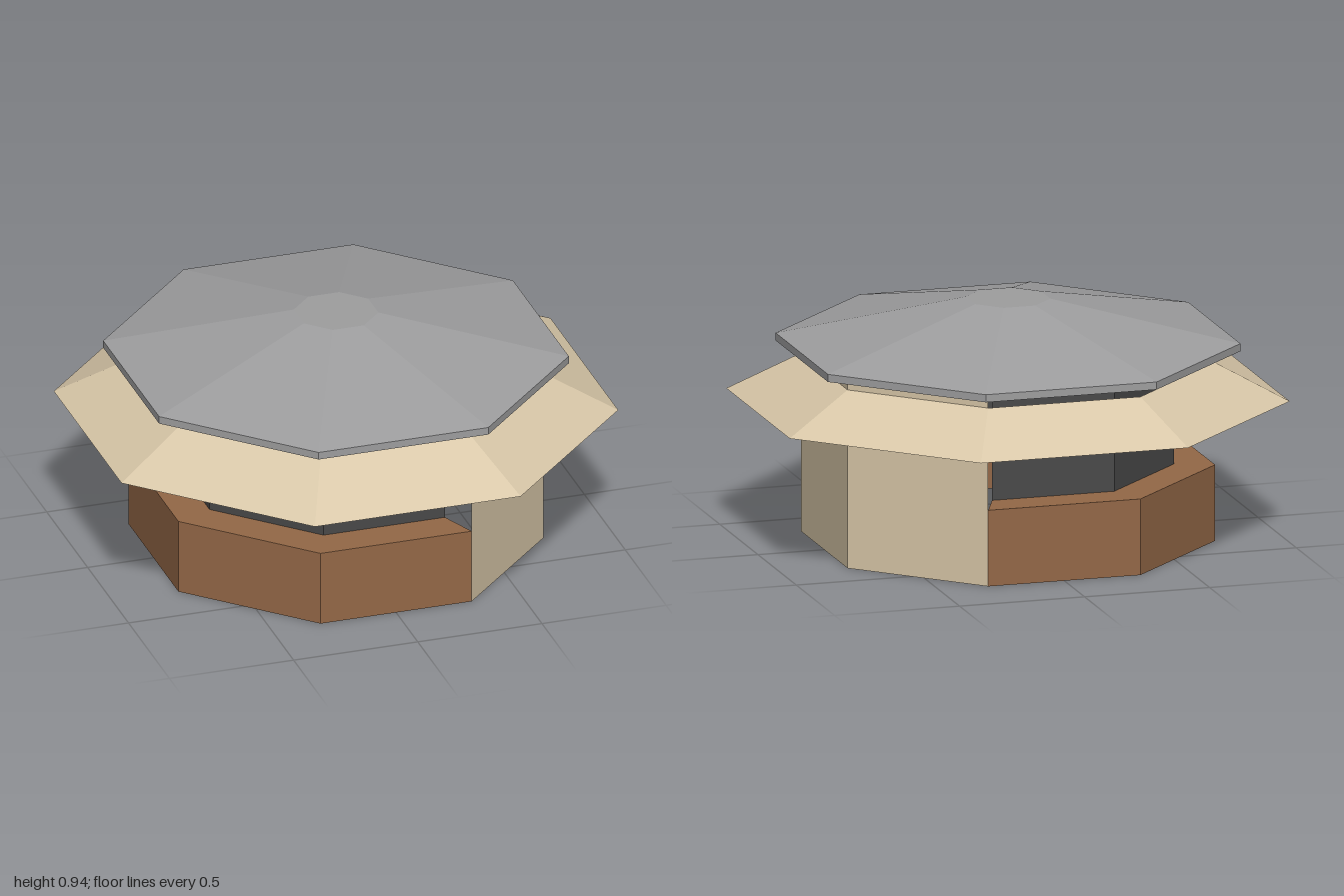
import * as THREE from 'three';

const SIDE = Math.PI / 4;
const HALF = SIDE / 2;

function material(name, color) {
  return new THREE.MeshStandardMaterial({ name, color, flatShading: true, side: THREE.DoubleSide });
}

// Sweeps a profile of [apothem, height] points around some sides of an octagon.
function band(name, mat, profile, firstSide = 0, sides = 8) {
  const points = profile.map(([a, y]) => new THREE.Vector2(a / Math.cos(HALF), y));
  const swept = new THREE.LatheGeometry(points, sides, firstSide * SIDE - HALF, sides * SIDE);
  const geometry = swept.toNonIndexed();
  geometry.computeVertexNormals();
  const mesh = new THREE.Mesh(geometry, mat);
  mesh.name = name;
  return mesh;
}

export function createModel() {
  const sand = material('sand', 0xd8c7a8);
  const wood = material('wood brown', 0x946847);
  const dark = material('dark grey', 0x494949);
  const grey = material('roof grey', 0x9e9e9f);

  const model = new THREE.Group();
  model.name = 'kiosk';
  model.add(
    // Side 0 faces +z; sides 1 to 3 are the closed wall, 4 to 8 the open counter
    band('wall', sand, [[0.735, 0], [0.735, 0.742]], 1, 3),
    band('counter', wood, [[0.735, 0], [0.735, 0.3], [0.59, 0.3]], 4, 5),
    band('innerWall', dark, [[0.59, 0.3], [0.59, 0.738]], 4, 5),
    // Sloping awning all around
    band('awning', sand, [[1, 0.557], [0.735, 0.703]]),
    // Roof with a thin rim, and the dark soffit beneath it
    band('roof', grey, [[0.825, 0.75], [0.825, 0.78], [0.15, 0.94], [0, 0.94]]),
    band('soffit', dark, [[0.59, 0.736], [0.825, 0.75]]),
  );
  return model;
}
